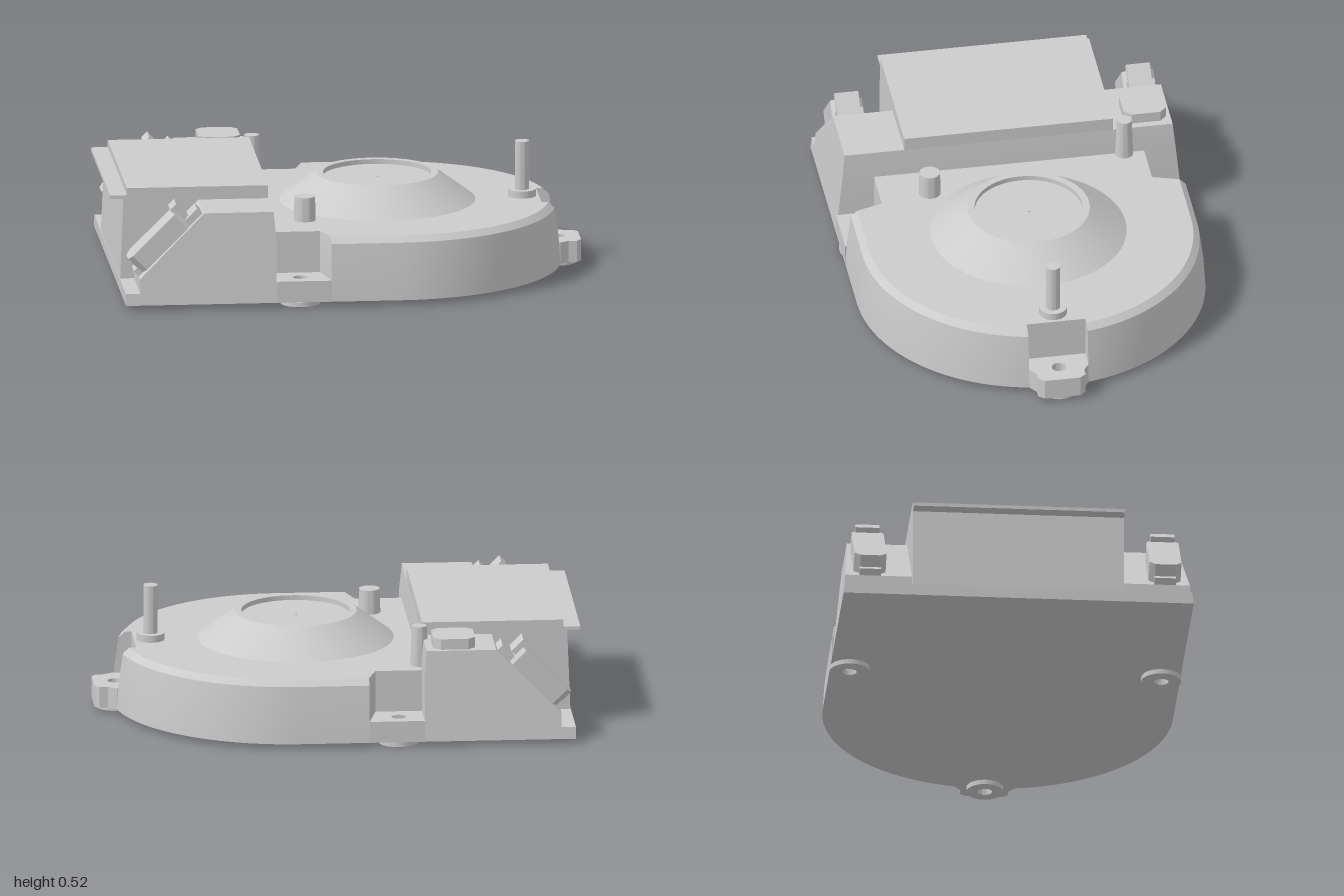
import * as THREE from 'three';
import { toCreasedNormals } from 'three/addons/utils/BufferGeometryUtils.js';

const material = new THREE.MeshStandardMaterial({ color: 0xcccccc });

function addMesh(parent, name, geometry, x = 0, y = 0, z = 0) {
  const mesh = new THREE.Mesh(toCreasedNormals(geometry, 0.5), material);
  mesh.name = name;
  mesh.position.set(x, y, z);
  parent.add(mesh);
  return mesh;
}

const toShape = (pts) => new THREE.Shape(pts.map(([x, y]) => new THREE.Vector2(x, y)));
const extrude = (shape, depth) =>
  new THREE.ExtrudeGeometry(shape, { depth, bevelEnabled: false, curveSegments: 24 });

// Plan outline (x, z) raised from y0 to y1, with an optional round hole
function plate(shape, y0, y1, hole) {
  if (hole) shape.holes.push(new THREE.Path().absarc(hole[0], hole[1], hole[2], 0, Math.PI * 2, true));
  return extrude(shape, y1 - y0).rotateX(Math.PI / 2).translate(0, y1, 0);
}

// Side profile (x, y) extruded symmetrically along z
const sideProfile = (pts, width) => extrude(toShape(pts), width).translate(0, 0, -width / 2);

function chamferedRect(x0, x1, z0, z1, c) {
  return toShape([[x0 + c, z0], [x1 - c, z0], [x1, z0 + c], [x1, z1 - c],
    [x1 - c, z1], [x0 + c, z1], [x0, z1 - c], [x0, z0 + c]]);
}

// Round-ended body outline with notches for the three mounting tabs
function bodyOutline(inset) {
  const r = 0.73 - inset, notch = Math.asin(0.125 / r), steps = 28;
  const half = [[0.83, 0.125]];
  for (let i = 0; i <= steps; i++) {
    const a = notch + (Math.PI / 2 - notch) * (i / steps);
    half.push([0.19 + r * Math.cos(a), r * Math.sin(a)]);
  }
  half.push([-0.1, r], [-0.135, 0.57], [-0.33, 0.57]);
  const mirrored = half.map(([x, z]) => [x, -z]).reverse();
  return [...mirrored, ...half];
}

// Skin a stack of equal-length outlines and cap both ends
function loft(levels) {
  const rings = levels.map(([y, inset]) => bodyOutline(inset).map(([x, z]) => [x, y, z]));
  const n = rings[0].length, index = [];
  for (let k = 0; k < rings.length - 1; k++) {
    for (let i = 0; i < n; i++) {
      const a = k * n + i, b = k * n + (i + 1) % n;
      index.push(a, a + n, b, b, a + n, b + n);
    }
  }
  const cap = (ring) => THREE.ShapeUtils.triangulateShape(
    ring.map(([x, , z]) => new THREE.Vector2(x, z)), []);
  const top = (rings.length - 1) * n;
  for (const [a, b, c] of cap(rings[0])) index.push(a, b, c);
  for (const [a, b, c] of cap(rings[rings.length - 1])) index.push(top + a, top + c, top + b);
  const geometry = new THREE.BufferGeometry();
  geometry.setAttribute('position', new THREE.Float32BufferAttribute(rings.flat(2), 3));
  geometry.setIndex(index);
  return geometry;
}

// Clip-on connector lying on the 45 degree slope
function connector(name, z) {
  const group = new THREE.Group();
  group.name = name;
  group.position.set(-0.9, 0.13, z);
  group.rotation.z = Math.PI / 4;
  addMesh(group, 'connectorBody', plate(chamferedRect(0.02, 0.31, -0.067, 0.067, 0.025), -0.01, 0.083));
  const bits = [
    ['connectorLip', 0.29, 0.325, 0.035, 0.106, 0.1],
    ['connectorLowerClip', 0, 0.03, -0.01, 0.03, 0.09],
    ['connectorUpperClip', 0.3, 0.372, -0.01, 0.03, 0.11],
  ];
  for (const [part, s0, s1, n0, n1, width] of bits) {
    addMesh(group, part, new THREE.BoxGeometry(s1 - s0, n1 - n0, width), (s0 + s1) / 2, (n0 + n1) / 2, 0);
  }
  return group;
}

export function createModel() {
  const model = new THREE.Group();
  model.name = 'motorHousing';

  // Round body with drafted wall and chamfered top edge
  addMesh(model, 'roundBody', loft([[0.02, 0], [0.14, 0.008], [0.26, 0.024], [0.285, 0.05]]));

  // Rear housing with sloped shoulders; its side walls lean inwards
  const housing = sideProfile([[-0.96, 0.02], [-0.33, 0.02], [-0.33, 0.285], [-0.34, 0.4],
    [-0.63, 0.4], [-0.9, 0.13], [-0.9, 0.07], [-0.96, 0.07]], 1.46);
  const p = housing.attributes.position;
  for (let i = 0; i < p.count; i++) {
    p.setZ(i, Math.sign(p.getZ(i)) * (0.73 - (p.getY(i) - 0.02) * 0.1));
  }
  addMesh(model, 'sideHousing', housing);

  // Raised centre block with a thin lip at its end
  addMesh(model, 'centreBlock', sideProfile([[-0.96, 0.02], [-0.34, 0.02], [-0.34, 0.455],
    [-0.93, 0.455], [-0.93, 0.425], [-1, 0.425], [-1, 0.41], [-0.945, 0.41]], 0.88));

  // Cone with a shallow round recess
  const cone = [[0.415, 0.28], [0.255, 0.4], [0.225, 0.4], [0.225, 0.38], [0, 0.38]];
  addMesh(model, 'cone', new THREE.LatheGeometry(cone.map(([r, y]) => new THREE.Vector2(r, y)), 64), 0.155);
  addMesh(model, 'coneCentre', new THREE.CylinderGeometry(0.006, 0.006, 0.004, 12), 0.155, 0.381, 0);

  // Upright pins: name, x, z, top radius, bottom radius, top height
  const pins = [
    ['tallPin', 0.76, 0, 0.03, 0.03, 0.52],
    ['tallPinCollar', 0.76, 0, 0.058, 0.058, 0.315],
    ['shortPin', -0.18, 0.36, 0.043, 0.046, 0.387],
    ['cornerPin', -0.325, -0.485, 0.031, 0.038, 0.455],
  ];
  for (const [name, x, z, rTop, rBottom, top] of pins) {
    const h = top - 0.28;
    addMesh(model, name, new THREE.CylinderGeometry(rTop, rBottom, h, 32), x, 0.28 + h / 2, z);
  }

  // Mounting tabs with through holes and bosses underneath
  const boss = (name, x, z, r) =>
    addMesh(model, name, plate(new THREE.Shape().absarc(x, z, r, 0, Math.PI * 2), 0, 0.021, [x, z, 0.03]));
  for (const [side, s] of [['left', 1], ['right', -1]]) {
    const tab = toShape([[-0.33, 0.57 * s], [-0.135, 0.57 * s], [-0.1, 0.73 * s], [-0.33, 0.73 * s]]);
    addMesh(model, side + 'Tab', plate(tab, 0.02, 0.11, [-0.225, 0.655 * s, 0.03]));
    boss(side + 'Boss', -0.225, 0.65 * s, 0.083);
  }
  const endHalf = [[0.83, 0.125], [0.91, 0.125], [0.945, 0.1], [0.98, 0.1], [1, 0.075]];
  const endTab = toShape([...endHalf.map(([x, z]) => [x, -z]), ...endHalf.slice().reverse()]);
  addMesh(model, 'endTab', plate(endTab, 0.02, 0.11, [0.91, 0, 0.03]));
  boss('endBoss', 0.91, 0, 0.077);

  // Sloped connectors and the raised pad on the back shoulder
  model.add(connector('frontConnector', 0.615), connector('backConnector', -0.615));
  addMesh(model, 'raisedPad', plate(chamferedRect(-0.545, -0.37, -0.675, -0.495, 0.03), 0.39, 0.445));

  return model;
}
